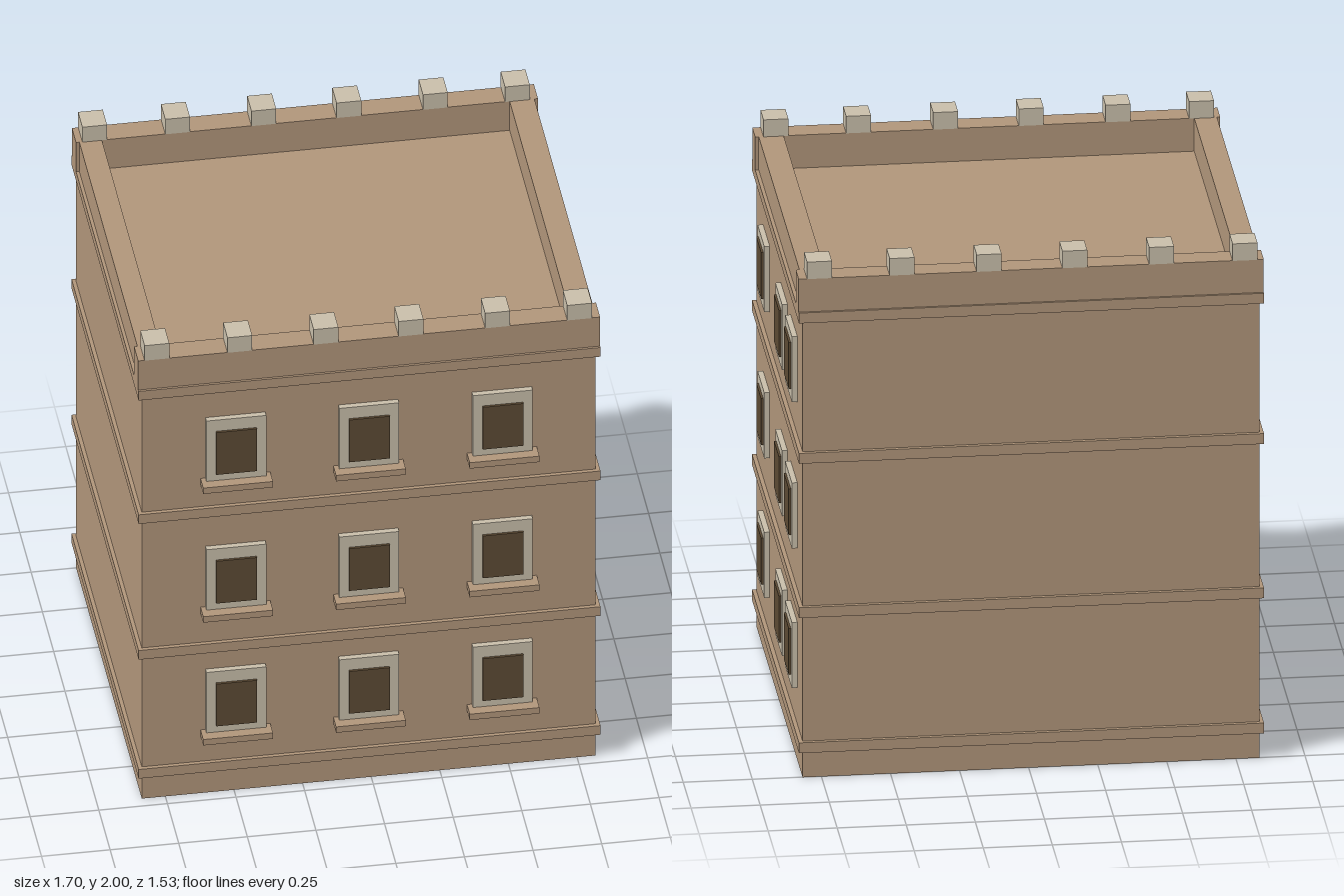
import * as THREE from 'three';

export function createModel() {
  const group = new THREE.Group();
  group.name = 'building';
  const mat = (name, color) => {
    const m = new THREE.MeshStandardMaterial({ color });
    m.name = name;
    return m;
  };
  const wall = mat('tan wall', 0xb0957a);
  const stone = mat('pale stone', 0xc8beaa);
  const glass = mat('dark window', 0x5c4a34);

  // Box given by its extents on each axis
  const box = (name, material, [x0, x1], [y0, y1], [z0, z1]) => {
    const mesh = new THREE.Mesh(new THREE.BoxGeometry(x1 - x0, y1 - y0, z1 - z0), material);
    mesh.position.set((x0 + x1) / 2, (y0 + y1) / 2, (z0 + z1) / 2);
    mesh.name = name;
    group.add(mesh);
  };
  const around = (c, size) => [c - size / 2, c + size / 2];

  // Main block and the bands between floors
  const bodyX = [-0.836, 0.818], bodyZ = [-0.752, 0.704];
  const bandX = [-0.85, 0.833], bandZ = [-0.767, 0.719];
  box('body', wall, bodyX, [0, 1.8], bodyZ);
  for (const y of [0.1, 0.624, 1.222, 1.766]) box('floorBand', wall, bandX, [y, y + 0.04], bandZ);

  // Parapet: wide front and back walls, inset side walls
  const parapetY = [1.805, 1.934];
  box('frontParapet', wall, bandX, parapetY, [0.619, 0.71]);
  box('backParapet', wall, bandX, parapetY, [-0.758, -0.667]);
  box('rightParapet', wall, [0.73, 0.82], parapetY, [-0.667, 0.619]);
  box('leftParapet', wall, [-0.838, -0.756], parapetY, [-0.667, 0.619]);

  // Stone blocks along the front and back parapets
  for (const x of [-0.782, -0.48, -0.166, 0.144, 0.459, 0.758]) {
    for (const z of [-0.713, 0.664]) box('parapetBlock', stone, around(x, 0.09), [1.934, 2], around(z, 0.096));
  }

  // Front windows with sills, and plain windows on the +x side
  for (const y of [0.41, 0.951, 1.518]) {
    for (const x of [-0.495, -0.011, 0.476]) {
      box('frontWindowFrame', stone, around(x, 0.218), around(y, 0.268), [0.7, 0.726]);
      box('frontWindowPane', glass, around(x, 0.148), around(y - 0.008, 0.186), [0.726, 0.735]);
      box('frontWindowSill', wall, around(x, 0.254), [y - 0.158, y - 0.132], [0.7, 0.765]);
    }
    for (const z of [0.393, -0.168, -0.479]) {
      box('sideWindowFrame', stone, [0.814, 0.838], around(y - 0.003, 0.254), around(z, 0.21));
      box('sideWindowPane', glass, [0.838, 0.846], around(y, 0.18), around(z, 0.153));
    }
  }
  return group;
}
